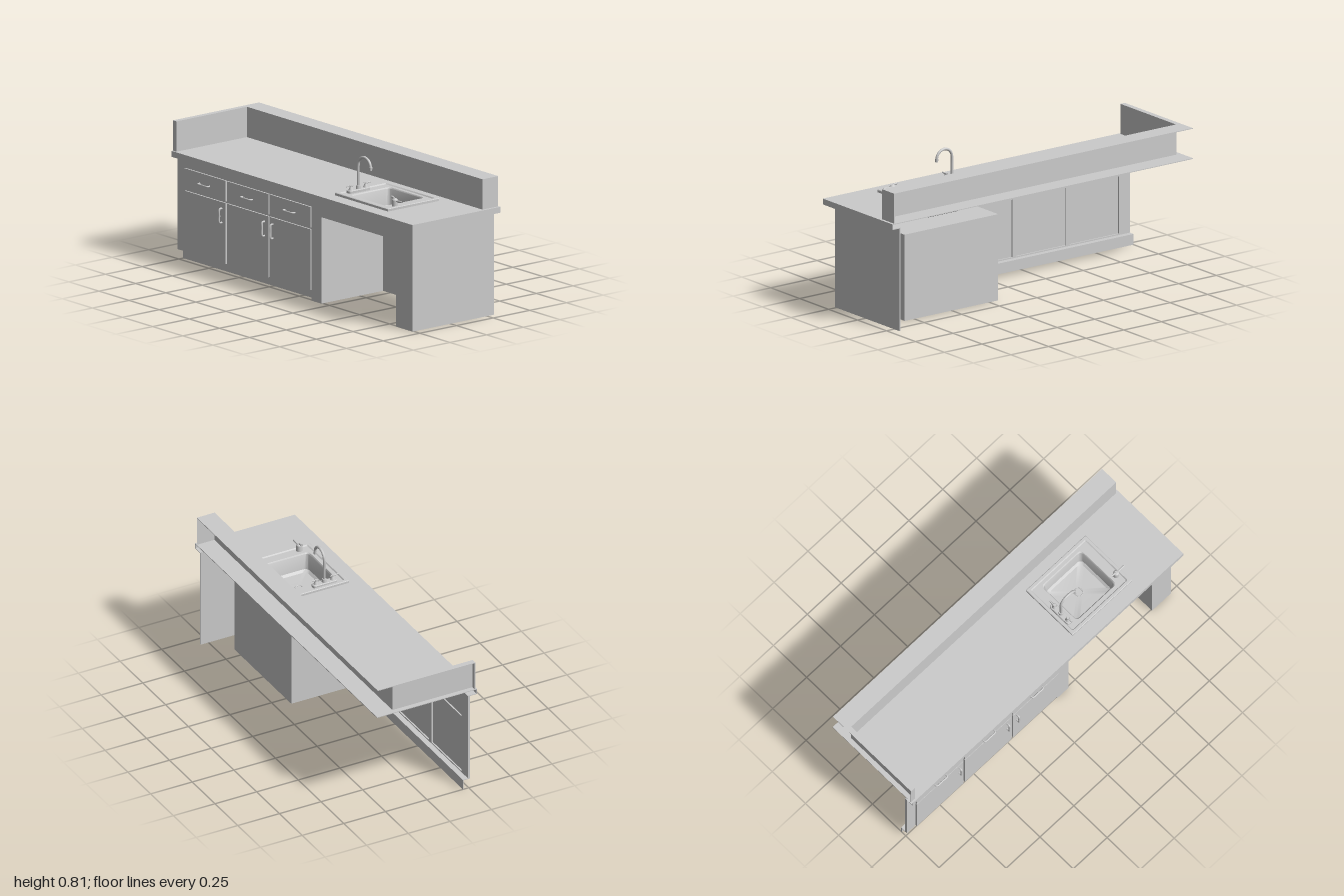
import * as THREE from 'three';
import { toCreasedNormals } from 'three/addons/utils/BufferGeometryUtils.js';

const mat = new THREE.MeshStandardMaterial({ color: 0xcccccc, side: THREE.DoubleSide });

function add(parent, name, geo) {
  const mesh = new THREE.Mesh(geo, mat);
  mesh.name = name;
  parent.add(mesh);
  return mesh;
}

// Box given by its minimum and maximum on each axis
function box(parent, name, x0, x1, y0, y1, z0, z1) {
  const m = add(parent, name, new THREE.BoxGeometry(x1 - x0, y1 - y0, z1 - z0));
  m.position.set((x0 + x1) / 2, (y0 + y1) / 2, (z0 + z1) / 2);
  return m;
}

// Upright cylinder or cone standing on y
function post(parent, name, x, y, z, r0, r1, h) {
  const m = add(parent, name, new THREE.CylinderGeometry(r1, r0, h, 20));
  m.position.set(x, y + h / 2, z);
  return m;
}

function rectPath(x0, x1, y0, y1) {
  return new THREE.Path([[x0, y0], [x0, y1], [x1, y1], [x1, y0], [x0, y0]].map(p => new THREE.Vector2(...p)));
}

function tube(parent, name, points, r, segments = 32) {
  const pts = points.map(p => new THREE.Vector3(...p));
  const curve = new THREE.CatmullRomCurve3(pts, false, 'centripetal');
  return add(parent, name, new THREE.TubeGeometry(curve, segments, r, 10));
}

// Surface through rounded rectangles: [cx, cz, halfX, halfZ, cornerRadius, y]
function roundedLoft(rings) {
  const n = 6, pos = [], idx = [], count = 4 * n;
  for (const [cx, cz, hx, hz, r, y] of rings) {
    for (let c = 0; c < 4; c++) {
      const sx = c === 0 || c === 3 ? 1 : -1, sz = c < 2 ? 1 : -1;
      for (let i = 0; i < n; i++) {
        const a = (c + i / (n - 1)) * Math.PI / 2;
        pos.push(cx + sx * (hx - r) + r * Math.cos(a), y, cz + sz * (hz - r) + r * Math.sin(a));
      }
    }
  }
  for (let k = 0; k < rings.length - 1; k++) {
    for (let i = 0; i < count; i++) {
      const a = k * count + i, b = k * count + (i + 1) % count;
      idx.push(a, a + count, b, b, a + count, b + count);
    }
  }
  const g = new THREE.BufferGeometry();
  g.setAttribute('position', new THREE.Float32BufferAttribute(pos, 3));
  g.setIndex(idx);
  return toCreasedNormals(g, 0.6);
}

export function createModel() {
  const model = new THREE.Group();
  model.name = 'sinkCounter';
  const group = name => {
    const g = new THREE.Group();
    g.name = name;
    model.add(g);
    return g;
  };
  const t = 0.004;

  // Countertop skin with a sink cut-out, and a lip on the front and +x end
  const counter = group('countertop');
  const top = new THREE.Shape(rectPath(-1, 1, -0.3, 0.3).getPoints());
  top.holes.push(rectPath(0.3, 0.66, -0.19, 0.11));
  const topMesh = add(counter, 'counterSurface', new THREE.ExtrudeGeometry(top, { depth: t, bevelEnabled: false }));
  topMesh.rotation.x = -Math.PI / 2;
  topMesh.position.y = 0.597 - t;
  box(counter, 'frontLip', -1, 1, 0.565, 0.597 - t, 0.3 - t, 0.3);
  box(counter, 'frontLipReturn', -1, 1, 0.565, 0.565 + t, 0.25, 0.3 - t);
  box(counter, 'endLip', 1 - t, 1, 0.565, 0.597 - t, -0.3, 0.3 - t);
  box(counter, 'endLipReturn', 0.945, 1 - t, 0.565, 0.565 + t, -0.3, 0.25);

  // Hollow backsplash and side splash, open toward the walls
  const splash = group('backsplash');
  box(splash, 'backsplashFront', -0.97, 0.985, 0.597, 0.762, -0.19 - t, -0.19);
  box(splash, 'backsplashTop', -1, 0.985, 0.762 - t, 0.762, -0.297, -0.19);
  box(splash, 'backsplashEnd', 0.985 - t, 0.985, 0.597, 0.762 - t, -0.297, -0.19 - t);
  box(splash, 'sideSplashFace', -0.97 - t, -0.97, 0.597, 0.762, -0.19, 0.29);
  box(splash, 'sideSplashTop', -1, -0.97, 0.762 - t, 0.762, -0.19, 0.29);
  box(splash, 'sideSplashEnd', -1, -0.97, 0.597, 0.762 - t, 0.29 - t, 0.29);

  // Face frame with openings behind drawers and doors, and the knee space
  const cabinet = group('cabinet');
  const frame = new THREE.Shape([
    [-1, 0.055], [0.11, 0.055], [0.11, 0], [0.195, 0], [0.195, 0.47], [0.81, 0.47],
    [0.81, 0], [0.95, 0], [0.95, 0.567], [-1, 0.567],
  ].map(p => new THREE.Vector2(...p)));
  const columns = [[-0.935, -0.592], [-0.58, -0.237], [-0.225, 0.112]];
  for (const [x0, x1] of columns) {
    frame.holes.push(rectPath(x0 + 0.007, x1 - 0.007, 0.405, 0.503));
    frame.holes.push(rectPath(x0 + 0.007, x1 - 0.007, 0.066, 0.382));
  }
  add(cabinet, 'faceFrame', new THREE.ExtrudeGeometry(frame, { depth: 0.012, bevelEnabled: false }))
    .position.z = 0.246;
  box(cabinet, 'toeKick', -1, 0.11, 0, 0.055, 0.215, 0.22);
  box(cabinet, 'toeKickLedge', -1, 0.11, 0.055, 0.059, 0.215, 0.246);
  box(cabinet, 'toeKickReturn', 0.11, 0.114, 0, 0.055, 0.215, 0.246);
  box(cabinet, 'endPanel', 0.942, 0.95, 0, 0.567, -0.297, 0.246);

  // Knee space enclosure, open at the front and bottom
  const knee = group('kneeSpace');
  box(knee, 'kneeSideRight', 0.195 - t, 0.195, 0, 0.47, -0.16, 0.25);
  box(knee, 'kneeSideLeft', 0.81, 0.81 + t, 0, 0.47, -0.16, 0.25);
  box(knee, 'kneeBack', 0.195 - t, 0.81 + t, 0, 0.47, -0.16 - t, -0.16);
  box(knee, 'kneeTop', 0.195 - t, 0.81 + t, 0.47, 0.47 + t, -0.16 - t, 0.25);

  // Drawers and doors with bow handles
  const fronts = group('drawersAndDoors');
  const handleXs = [-0.622, -0.268, -0.197];
  const bow = [[-1, 0], [-1, 0.8], [-0.85, 1], [0, 1], [0.85, 1], [1, 0.8], [1, 0]];
  columns.forEach(([x0, x1], i) => {
    box(fronts, 'drawerFront', x0, x1, 0.398, 0.511, 0.254, 0.267);
    box(fronts, 'doorFront', x0, x1, 0.057, 0.389, 0.254, 0.267);
    const mid = (x0 + x1) / 2;
    tube(fronts, 'drawerHandle', bow.map(([u, v]) => [mid + u * 0.04, 0.454, 0.264 + v * 0.021]), 0.0045);
    tube(fronts, 'doorHandle', bow.map(([u, v]) => [handleXs[i], 0.316 + u * 0.038, 0.264 + v * 0.021]), 0.0055);
  });

  // Drop-in sink: raised rim, recessed deck, tapered bowl and drain
  const sink = group('sink');
  add(sink, 'sinkBasin', roundedLoft([
    [0.48, 0.045, 0.22, 0.176, 0.004, 0.597],
    [0.48, 0.045, 0.22, 0.176, 0.004, 0.609],
    [0.48, 0.045, 0.217, 0.173, 0.004, 0.612],
    [0.48, 0.045, 0.203, 0.159, 0.008, 0.612],
    [0.48, 0.045, 0.198, 0.154, 0.008, 0.606],
    [0.48, 0.043, 0.146, 0.134, 0.02, 0.606],
    [0.48, 0.043, 0.141, 0.129, 0.02, 0.6],
    [0.48, 0.043, 0.132, 0.12, 0.025, 0.515],
    [0.48, 0.043, 0.12, 0.108, 0.03, 0.503],
    [0.48, 0.043, 0.025, 0.025, 0.025, 0.499],
    [0.48, 0.043, 0.001, 0.001, 0.001, 0.499],
  ]));
  const drain = add(sink, 'drainRing', new THREE.TorusGeometry(0.022, 0.003, 8, 24));
  drain.rotation.x = Math.PI / 2;
  drain.position.set(0.48, 0.5, 0.043);

  // Gooseneck faucet on a deck plate with two lever taps
  const faucet = group('faucet');
  const fx = 0.3, fz = 0.094;
  add(faucet, 'deckPlate', roundedLoft([
    [fx, fz, 0.019, 0.072, 0.015, 0.605],
    [fx, fz, 0.019, 0.072, 0.015, 0.618],
    [fx, fz, 0.016, 0.069, 0.013, 0.621],
    [fx, fz, 0.001, 0.001, 0.001, 0.621],
  ]));
  post(faucet, 'spoutCollar', fx, 0.62, fz, 0.014, 0.012, 0.018);
  const neck = [[fx, 0.62, fz], [fx, 0.69, fz]];
  for (let i = 0; i <= 8; i++) {
    const a = Math.PI * (1 - i / 8);
    neck.push([fx + 0.051 + 0.051 * Math.cos(a), 0.75 + 0.05 * Math.sin(a), fz]);
  }
  tube(faucet, 'spout', neck, 0.0075, 48);
  post(faucet, 'spoutTip', fx + 0.102, 0.738, fz, 0.008, 0.0095, 0.018);
  for (const s of [-1, 1]) {
    const z = fz + s * 0.05;
    post(faucet, 'tapBase', fx, 0.62, z, 0.014, 0.007, 0.018);
    post(faucet, 'tapCap', fx, 0.638, z, 0.008, 0.007, 0.01);
    tube(faucet, 'tapLever', [[fx, 0.643, z - s * 0.012], [fx, 0.643, z + s * 0.012], [fx, 0.645, z + s * 0.032]], 0.004, 10);
  }

  // Drinking bubbler on the opposite side of the bowl
  const bubbler = group('bubbler');
  const bx = 0.66, bz = 0.14;
  post(bubbler, 'bubblerBody', bx, 0.605, bz, 0.017, 0.016, 0.035);
  post(bubbler, 'bubblerCap', bx, 0.64, bz, 0.016, 0.008, 0.008);
  tube(bubbler, 'bubblerLever', [[bx + 0.005, 0.634, bz], [bx + 0.03, 0.636, bz], [bx + 0.06, 0.638, bz]], 0.005, 10);
  tube(bubbler, 'bubblerSpout', [[bx, 0.645, bz], [bx - 0.012, 0.65, bz], [bx - 0.028, 0.652, bz]], 0.005, 10);

  return model;
}
